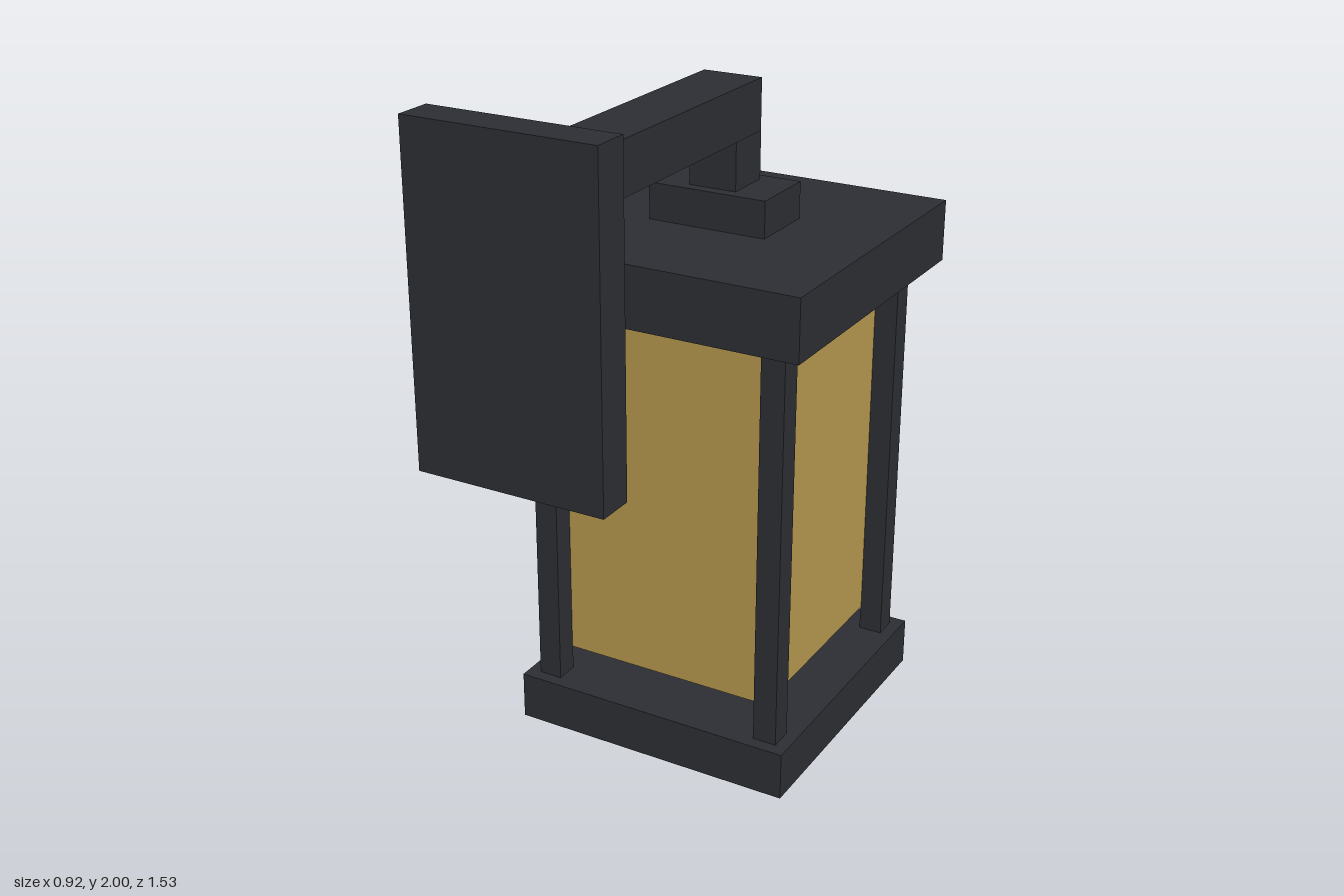
import * as THREE from 'three';

export function createModel() {
  const model = new THREE.Group();
  const metal = new THREE.MeshStandardMaterial({ color: 0x2b2e33 });
  const amber = new THREE.MeshStandardMaterial({ color: 0xb5964e });

  // Box given by its width, vertical range and depth range, centred on x
  function addBox(name, width, [y0, y1], [z0, z1], material = metal, x = 0) {
    const mesh = new THREE.Mesh(new THREE.BoxGeometry(width, y1 - y0, z1 - z0), material);
    mesh.position.set(x, (y0 + y1) / 2, (z0 + z1) / 2);
    mesh.name = name;
    model.add(mesh);
  }

  // Depth range centred on the lantern axis
  const axisZ = -0.302;
  const around = (half) => [axisZ - half, axisZ + half];

  // Wall mount and arm
  addBox('wallPlate', 0.53, [1.11, 2], [0.66, 0.765]);
  addBox('arm', 0.175, [1.75, 1.895], [-0.34, 0.66]);

  // Hanger between arm and cap
  addBox('neck', 0.142, [1.605, 1.75], around(0.071));
  addBox('collar', 0.355, [1.5, 1.605], around(0.105));

  // Lantern body
  addBox('cap', 0.924, [1.322, 1.5], around(0.462));
  addBox('base', 0.854, [0, 0.142], around(0.427));
  addBox('glass', 0.644, [0.215, 1.322], around(0.322), amber);

  // Four corner posts
  const postOffset = 0.355;
  for (const sx of [-1, 1]) {
    for (const sz of [-1, 1]) {
      const z = axisZ + sz * postOffset;
      addBox('cornerPost', 0.07, [0.142, 1.322], [z - 0.035, z + 0.035], metal, sx * postOffset);
    }
  }

  return model;
}
